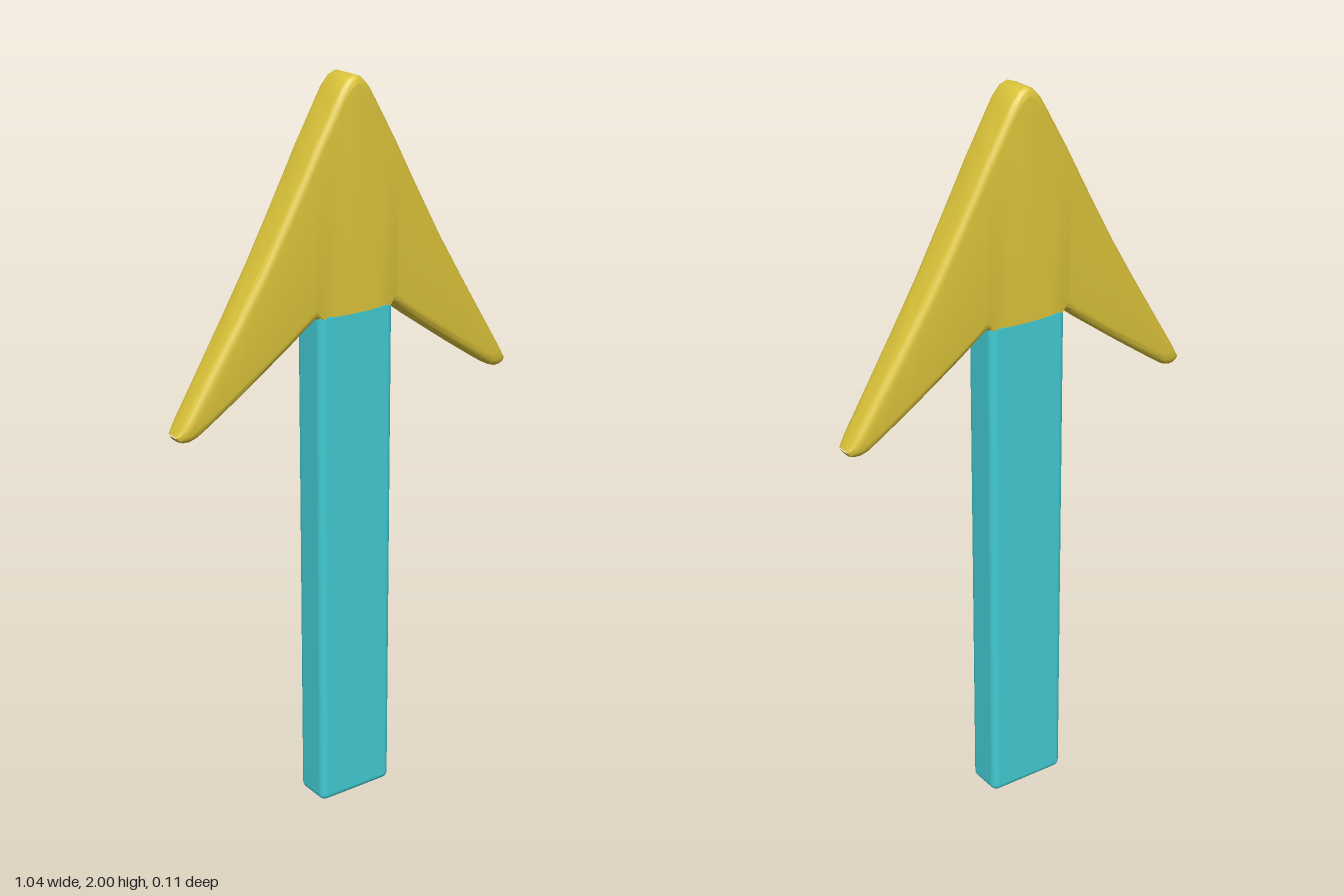
import * as THREE from 'three';
import { toCreasedNormals } from 'three/addons/utils/BufferGeometryUtils.js';
import { RoundedBoxGeometry } from 'three/addons/geometries/RoundedBoxGeometry.js';

// Half of the arrowhead outline: [x, top y, bottom y]
const HALF = [
  [0, 2, 1.4], [0.02, 1.993, 1.4], [0.04, 1.972, 1.4], [0.06, 1.94, 1.4],
  [0.105, 1.862, 1.4], [0.118, 1.84, 1.4], [0.128, 1.822, 1.396], [0.145, 1.79, 1.384],
  [0.2, 1.69, 1.342], [0.27, 1.566, 1.292], [0.35, 1.437, 1.235], [0.43, 1.312, 1.18],
  [0.465, 1.258, 1.157], [0.485, 1.226, 1.15], [0.5, 1.202, 1.15],
  [0.512, 1.182, 1.154], [0.52, 1.17, 1.166],
];

// Rounded y-z section of the head at one station, running from +z towards +y
function section([x, top, bottom], steps) {
  const ax = Math.abs(x);
  const tip = Math.max(0, (ax - 0.485) / 0.035);
  const depth = 0.055 - 0.02 * (ax / 0.5) ** 2 - 0.014 * tip * tip;
  const rz = Math.min(0.022, depth * 0.6);
  const half = (top - bottom) / 2;
  const rTop = Math.min(half * 0.95, 0.022 + 0.022 * Math.min(1, ax / 0.06));
  const rBottom = Math.min(half * 0.95, ax < 0.11 ? 0.001 : 0.03);
  const points = [];
  for (let corner = 0; corner < 4; corner++) {
    const sz = corner === 0 || corner === 3 ? 1 : -1;
    const upper = corner < 2;
    const ry = upper ? rTop : rBottom;
    const cy = upper ? top - ry : bottom + ry;
    for (let i = 0; i <= steps; i++) {
      const a = (corner + i / steps) * Math.PI / 2;
      points.push([x, cy + ry * Math.sin(a), sz * (depth - rz) + rz * Math.cos(a)]);
    }
  }
  return points;
}

// Skin the sections from one wing tip to the other
function headGeometry() {
  const left = HALF.slice(1).reverse().map(([x, t, b]) => [-x, t, b]);
  const stations = [...left, ...HALF];
  const steps = 6, n = 4 * (steps + 1);
  const positions = stations.flatMap((s) => section(s, steps).flat());
  const index = [];
  for (let s = 0; s < stations.length - 1; s++) {
    for (let i = 0; i < n; i++) {
      const j = (i + 1) % n;
      const a = s * n + i, b = (s + 1) * n + i, c = (s + 1) * n + j, d = s * n + j;
      index.push(a, b, c, a, c, d);
    }
  }
  const geometry = new THREE.BufferGeometry();
  geometry.setAttribute('position', new THREE.Float32BufferAttribute(positions, 3));
  geometry.setIndex(index);
  return toCreasedNormals(geometry, 0.7);
}

export function createModel() {
  const gold = new THREE.MeshStandardMaterial({ color: 0xdcc43a });
  gold.name = 'gold';
  const teal = new THREE.MeshStandardMaterial({ color: 0x42ccd4 });
  teal.name = 'teal';

  const model = new THREE.Group();
  model.name = 'arrow';

  // Swept-back head, thinning towards the wing tips
  const head = new THREE.Mesh(headGeometry(), gold);
  head.name = 'arrowHead';

  // Shaft, its rounded top hidden inside the head
  const shaft = new THREE.Mesh(new RoundedBoxGeometry(0.23, 1.42, 0.11, 4, 0.02), teal);
  shaft.name = 'shaft';
  shaft.position.y = 0.71;

  model.add(head, shaft);
  return model;
}
